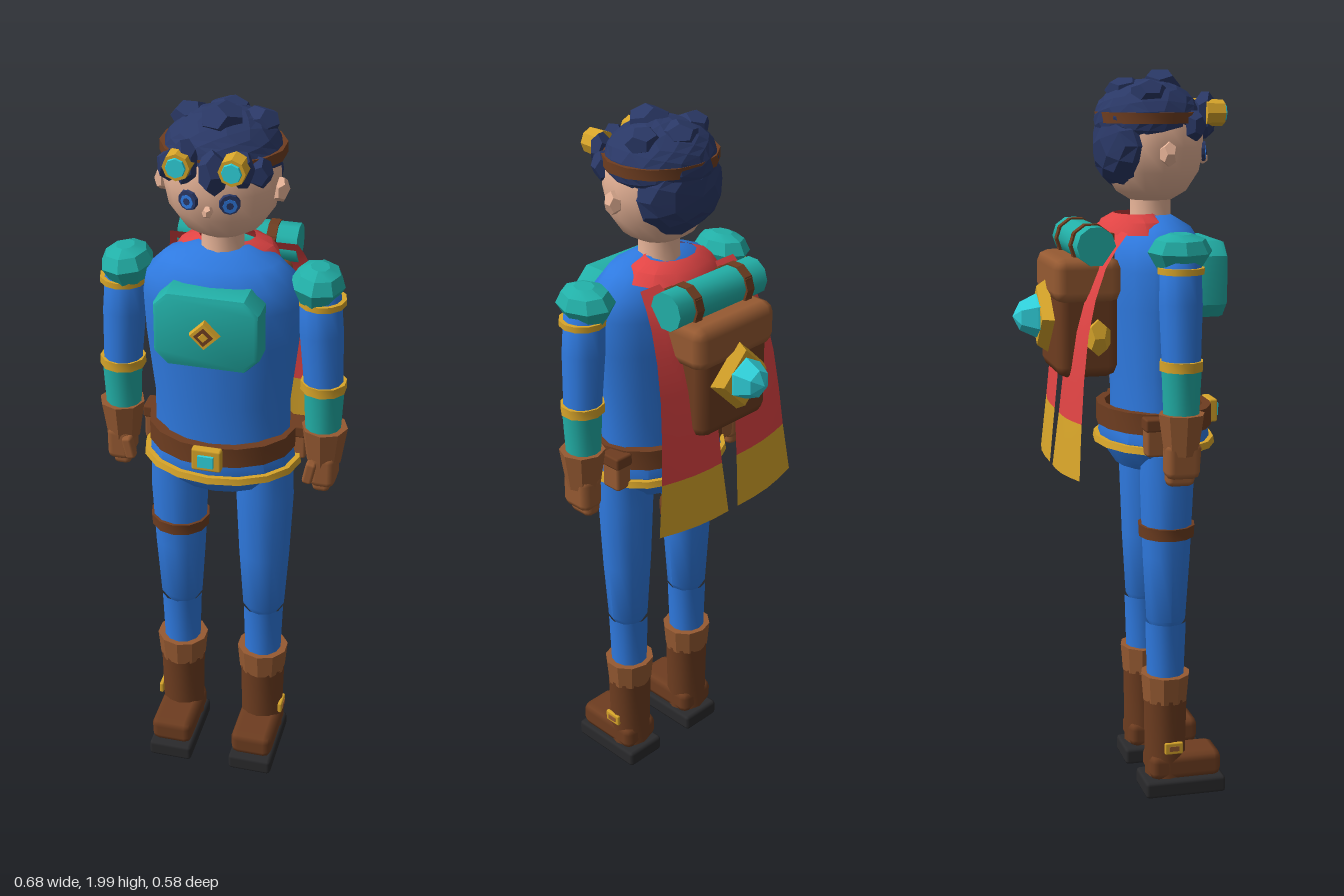
import * as THREE from 'three';
import { toCreasedNormals } from 'three/addons/utils/BufferGeometryUtils.js';
import { RoundedBoxGeometry } from 'three/addons/geometries/RoundedBoxGeometry.js';

const mat = (name, color) => {
  const m = new THREE.MeshStandardMaterial({ color });
  m.name = name;
  return m;
};

export function createModel() {
  const root = new THREE.Group();
  root.name = 'adventurer';
  const navy = mat('navy', 0x2a3866), skin = mat('skin', 0xe8b498), blue = mat('blue', 0x2f7ae0);
  const teal = mat('teal', 0x22b0a8), gold = mat('gold', 0xd8a52a), dark = mat('dark leather', 0x6e3d20);
  const tan = mat('tan leather', 0x965a32), red = mat('red', 0xe04444);
  const black = mat('black', 0x2a2a2c), cyan = mat('cyan', 0x30d2dc);
  red.side = gold.side = THREE.DoubleSide;

  const add = (name, geo, material, x = 0, y = 0, z = 0, parent = root) => {
    const m = new THREE.Mesh(geo, material);
    m.name = name;
    m.position.set(x, y, z);
    parent.add(m);
    return m;
  };
  const flat = g => toCreasedNormals(g, 0.02);
  // lathe of [radius, y] points, squashed along z
  const turn = (pts, sz = 1, seg = 12, crease = 0.7) => {
    const g = new THREE.LatheGeometry(pts.map(p => new THREE.Vector2(...p)), seg);
    g.scale(1, 1, sz);
    return toCreasedNormals(g, crease);
  };
  const box = (w, h, d, r = 0.01) => new RoundedBoxGeometry(w, h, d, 1, r);
  const blob = (rx, ry, rz, detail = 0) => flat(new THREE.DodecahedronGeometry(1, detail).scale(rx, ry, rz));
  // disc or prism facing +z
  const prism = (r0, r1, depth, seg) => flat(new THREE.CylinderGeometry(r1, r0, depth, seg).rotateX(Math.PI / 2));
  const Z = 0.1; // body axis

  // torso, hips, belt and hem
  add('torso', turn([[0, 1.04], [0.185, 1.04], [0.185, 1.2], [0.205, 1.38], [0.21, 1.48], [0.2, 1.54],
    [0.15, 1.59], [0.07, 1.62], [0, 1.62]], 0.62, 16, 1), blue, 0, 0, Z);
  add('hips', turn([[0, 0.94], [0.14, 0.94], [0.185, 0.99], [0.2, 1.02], [0.19, 1.06], [0, 1.06]], 0.75, 16), blue, 0, 0, Z);
  add('hemTrim', turn([[0.18, 1.0], [0.217, 1.0], [0.213, 1.018], [0.18, 1.018]], 0.76, 16), gold, 0, 0, Z);
  add('belt', turn([[0.17, 1.05], [0.2, 1.05], [0.2, 1.107], [0.17, 1.107], [0.17, 1.05]], 0.78, 16), dark, 0, 0, Z);
  add('beltBuckle', box(0.08, 0.065, 0.025, 0.006), gold, 0, 1.078, 0.262);
  add('buckleGem', new THREE.BoxGeometry(0.042, 0.034, 0.008), cyan, 0, 1.078, 0.278);

  // chest plate
  const w = 0.125, h = 0.09, c = 0.03;
  const plate = new THREE.Shape([[-w, -h + c], [-w + c, -h], [w - c, -h], [w, -h + c], [w, h - c], [w - c, h],
    [-w + c, h], [-w, h - c]].map(p => new THREE.Vector2(...p)));
  add('chestPlate', toCreasedNormals(new THREE.ExtrudeGeometry(plate,
    { depth: 0.06, bevelSize: 0.012, bevelThickness: 0.015, bevelSegments: 2 }), 0.6), teal, 0, 1.452, 0.195);
  add('chestDiamond', prism(0.042, 0.036, 0.02, 4), gold, 0, 1.452, 0.276);
  add('chestDiamondInset', prism(0.025, 0.025, 0.006, 4), dark, 0, 1.452, 0.286);
  add('chestStud', prism(0.015, 0.012, 0.008, 4), gold, 0, 1.452, 0.288);

  // neck and head
  add('neck', turn([[0.062, 1.58], [0.056, 1.62], [0.056, 1.69]]), skin, 0, 0, 0.09);
  add('head', turn([[0, 1.655], [0.06, 1.66], [0.1, 1.683], [0.135, 1.735], [0.148, 1.8], [0.143, 1.87],
    [0.1, 1.93], [0, 1.95]], 0.95, 16, 1), skin, 0, 0, 0.09);
  add('nose', blob(0.014, 0.016, 0.016), skin, 0, 1.766, 0.234);
  for (const s of [-1, 1]) {
    add('ear', blob(0.024, 0.034, 0.026), skin, s * 0.148, 1.785, 0.1);
    const eye = new THREE.Group();
    eye.name = 'eye';
    eye.position.set(s * 0.052, 1.787, 0.222);
    eye.rotation.y = s * 0.32;
    root.add(eye);
    add('eyeRim', prism(0.027, 0.025, 0.009, 10), navy, 0, 0, 0, eye);
    add('iris', prism(0.018, 0.018, 0.006, 8), blue, 0, -0.003, 0.003, eye);
    add('pupil', prism(0.009, 0.009, 0.006, 8), navy, 0, -0.002, 0.005, eye);
  }

  // hair: cap, nape, curls and fringe
  add('hairCap', blob(0.15, 0.108, 0.144, 2), navy, 0, 1.868, 0.08);
  add('hairNape', blob(0.138, 0.12, 0.088, 1), navy, 0, 1.805, 0.02);
  [[-0.088, 1.94, 0.06, 0.05, 0.036], [0.005, 1.955, 0.115, 0.06, 0.046], [0.085, 1.94, 0.06, 0.052, 0.036],
    [-0.058, 1.885, 0.222, 0.033, 0.06], [0.015, 1.87, 0.237, 0.038, 0.058], [0.082, 1.875, 0.215, 0.03, 0.05],
    [-0.108, 1.855, 0.175, 0.036, 0.042], [0.11, 1.855, 0.17, 0.036, 0.042], [0, 1.945, 0.02, 0.055, 0.035]]
    .forEach(([x, y, z, r, ry], i) => {
      add('hairCurl', blob(r, ry, r), navy, x, y, z).rotation.y = i * 1.3;
    });

  // headband and goggles
  add('headband', turn([[0.142, 1.862], [0.158, 1.862], [0.158, 1.89], [0.142, 1.89], [0.142, 1.862]], 0.9, 14), dark, 0, 0, 0.08);
  for (const s of [-1, 1]) {
    add('goggleRim', prism(0.036, 0.034, 0.05, 8), gold, s * 0.068, 1.887, 0.243);
    add('goggleLens', prism(0.026, 0.024, 0.008, 8), cyan, s * 0.068, 1.887, 0.27);
  }

  for (const s of [-1, 1]) {
    // arm
    const arm = new THREE.Group();
    arm.name = s > 0 ? 'leftArm' : 'rightArm';
    arm.position.set(0, 0, 0.103);
    root.add(arm);
    const upper = add('upperArm', turn([[0, -0.16], [0.052, -0.16], [0.058, 0], [0.055, 0.1], [0.035, 0.14], [0, 0.14]]),
      blue, s * 0.262, 1.41, 0, arm);
    upper.rotation.z = s * 0.06;
    add('shoulderPad', turn([[0, -0.045], [0.058, -0.045], [0.085, 0.0], [0.066, 0.032], [0.03, 0.046], [0, 0.046]],
      1.1, 8, 0.3).scale(0.82, 1, 0.92), teal, s * 0.25, 1.545, 0, arm).rotation.z = -s * 0.08;
    add('shoulderTrim', turn([[0.05, -0.01], [0.062, -0.01], [0.062, 0.006], [0.05, 0.006]]),
      gold, s * 0.262, 1.5, 0, arm);
    add('elbowBand', turn([[0.04, -0.012], [0.061, -0.012], [0.061, 0.014], [0.04, 0.014]], 0.95, 10), gold, s * 0.272, 1.253, 0, arm);
    add('forearm', turn([[0.047, 1.1], [0.054, 1.25], [0, 1.25]]), teal, s * 0.274, 0, 0, arm);
    add('gloveCuff', turn([[0, 1.02], [0.046, 1.02], [0.062, 1.128], [0, 1.128]], 1, 8), tan, s * 0.279, 0, 0, arm);
    add('hand', box(0.07, 0.1, 0.092, 0.02), tan, s * 0.282, 1.005, 0, arm);
    add('fingers', box(0.05, 0.07, 0.075, 0.015), tan, s * 0.278, 0.97, -0.004, arm);
    add('thumb', box(0.028, 0.065, 0.03, 0.008), tan, s * 0.25, 1.005, 0.045, arm).rotation.z = -s * 0.2;

    // leg and boot
    const leg = new THREE.Group();
    leg.name = s > 0 ? 'leftLeg' : 'rightLeg';
    leg.position.set(s * 0.12, 0, 0.107);
    root.add(leg);
    add('thigh', turn([[0, 0.49], [0.045, 0.495], [0.06, 0.52], [0.072, 0.7], [0.081, 0.9], [0.078, 0.99], [0, 0.99]], 0.92), blue, 0, 0, 0, leg);
    add('shin', turn([[0.052, 0.33], [0.058, 0.51]]), blue, 0, 0, 0, leg);
    add('bootShaft', turn([[0, 0.06], [0.06, 0.06], [0.065, 0.29], [0, 0.29]], 0.95), dark, 0, 0, 0, leg);
    add('bootCuff', turn([[0.055, 0.28], [0.066, 0.28], [0.073, 0.358], [0, 0.358]], 0.95, 10, 0.3), tan, 0, 0, 0, leg);
    add('bootToe', box(0.12, 0.075, 0.205, 0.022), dark, 0, 0.09, 0.05, leg);
    add('sole', box(0.126, 0.048, 0.232, 0.01), black, 0, 0.028, 0.048, leg);
    add('bootBuckle', box(0.012, 0.034, 0.052, 0.004), gold, s * 0.061, 0.152, 0.01, leg);
    add('buckleInset', new THREE.BoxGeometry(0.004, 0.014, 0.028), tan, s * 0.067, 0.152, 0.01, leg);
    if (s < 0) add('thighStrap', turn([[0.065, 0.757], [0.081, 0.757], [0.083, 0.79], [0.065, 0.79]], 0.95), dark, 0, 0, 0, leg);

    // belt pouch
    add('pouch', box(0.05, 0.09, 0.06, 0.008), tan, s * 0.2, 1.045, 0.055);
    add('pouchFlap', box(0.056, 0.035, 0.066, 0.006), dark, s * 0.2, 1.085, 0.055);
  }

  // cape: two curved flaps with gold hems
  const drop = new THREE.CatmullRomCurve3([[1.585, -0.015], [1.5, -0.08], [1.33, -0.135], [1.1, -0.163], [0.945, -0.178]]
    .map(([y, z]) => new THREE.Vector3(0, y, z)));
  const flap = (s, t0, t1) => {
    const g = new THREE.PlaneGeometry(1, 1, 4, 6), p = g.attributes.position;
    for (let i = 0; i < p.count; i++) {
      const u = p.getX(i) + 0.5, t = t0 + (0.5 - p.getY(i)) * (t1 - t0), d = drop.getPoint(t);
      const inner = 0.06 - 0.042 * t, outer = 0.17 + 0.085 * t;
      const fold = t * (0.012 * Math.sin(u * Math.PI) - 0.024 * u);
      p.setXYZ(i, s * (inner + (outer - inner) * u), d.y + 0.01 * t * u, d.z - fold - 0.01 * t);
    }
    g.computeVertexNormals();
    return g;
  };
  for (const s of [-1, 1]) {
    add('capeFlap', flap(s, 0, 0.76), red);
    add('capeHem', flap(s, 0.76, 1), gold);
  }
  add('capeCollar', turn([[0.14, 1.575], [0.12, 1.605], [0.075, 1.625]], 0.75, 12).scale(1, 1, 1), red, 0, 0, 0.045);

  // backpack with bedroll and crystal
  const pack = new THREE.Group();
  pack.name = 'backpack';
  root.add(pack);
  add('packBody', box(0.25, 0.25, 0.165, 0.03), dark, 0, 1.325, -0.108, pack);
  add('packFlap', box(0.285, 0.12, 0.18, 0.03), tan, 0, 1.46, -0.11, pack);
  add('bedroll', toCreasedNormals(new THREE.CylinderGeometry(0.052, 0.052, 0.32, 10).rotateZ(Math.PI / 2), 0.7), teal, 0, 1.552, -0.095, pack);
  for (const s of [-1, 1]) {
    add('bedrollStrap', flat(new THREE.CylinderGeometry(0.058, 0.058, 0.026, 10).rotateZ(Math.PI / 2)), dark, s * 0.092, 1.55, -0.095, pack);
    add('strapTail', new THREE.BoxGeometry(0.026, 0.07, 0.11), dark, s * 0.092, 1.545, -0.09, pack);
    add('sideFlask', blob(0.028, 0.052, 0.036), gold, s * 0.128, 1.31, -0.085, pack);
  }
  const gem = new THREE.Group();
  gem.name = 'crystalMount';
  gem.position.set(0, 1.355, -0.197);
  gem.rotation.x = -Math.PI / 2;
  pack.add(gem);
  add('crystalFrame', flat(new THREE.CylinderGeometry(0.08, 0.1, 0.03, 4)), gold, 0, 0.012, 0, gem);
  add('crystal', turn([[0.06, 0.025], [0.058, 0.032], [0.038, 0.074], [0, 0.093]], 1, 6, 0.02), cyan, 0, 0, 0, gem);

  return root;
}
